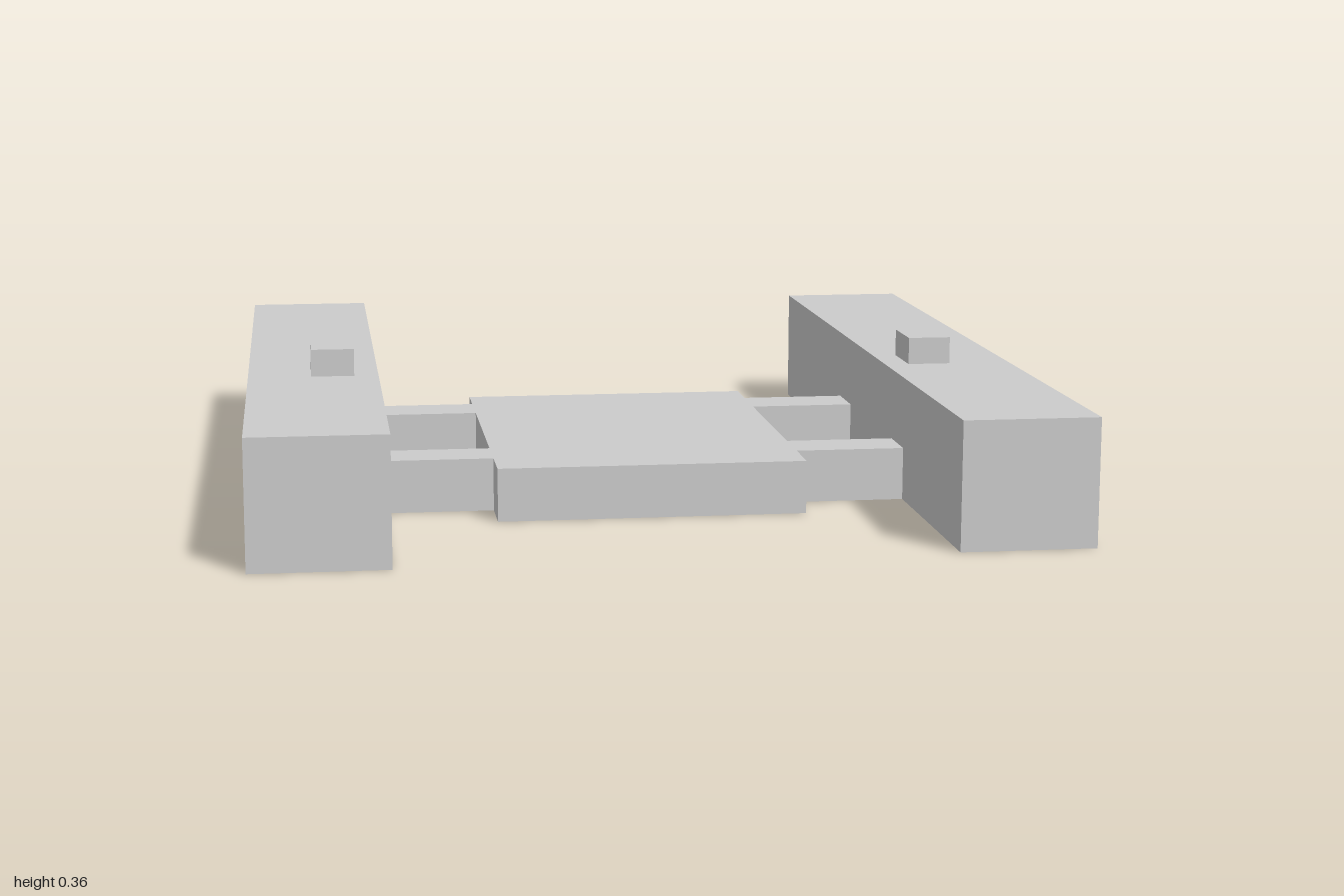
import * as THREE from 'three';

const material = new THREE.MeshStandardMaterial({ color: 0xcccccc, flatShading: true });

// Box given by its extents along each axis
function block(name, [x0, x1], [y0, y1], [z0, z1]) {
  const mesh = new THREE.Mesh(new THREE.BoxGeometry(x1 - x0, y1 - y0, z1 - z0), material);
  mesh.position.set((x0 + x1) / 2, (y0 + y1) / 2, (z0 + z1) / 2);
  mesh.name = name;
  return mesh;
}

export function createModel() {
  const model = new THREE.Group();
  model.name = 'twinBeamFrame';
  const beamTop = 0.295, deckTop = 0.125;
  const deckHalf = 0.3625, beamInner = 0.622, beamOuter = 0.933;

  // Central deck
  model.add(block('deck', [-deckHalf, deckHalf], [0, deckTop], [-0.375, 0.572]));

  for (const [side, s] of [['left', 1], ['right', -1]]) {
    const span = (a, b) => (s > 0 ? [a, b] : [-b, -a]);

    // Long side beam with a small knob on top
    model.add(block(side + 'Beam', span(beamInner, beamOuter), [0, beamTop], [-1, 1]));
    model.add(block(side + 'Knob', span(0.68, 0.783), [beamTop, 0.36], [0.11, 0.25]));

    // Arms joining the deck to the beam
    model.add(block(side + 'BackArm', span(deckHalf, beamInner), [0, deckTop], [-0.27, -0.14]));
    model.add(block(side + 'FrontArm', span(deckHalf, beamInner), [0, deckTop], [0.327, 0.45]));
  }
  return model;
}
